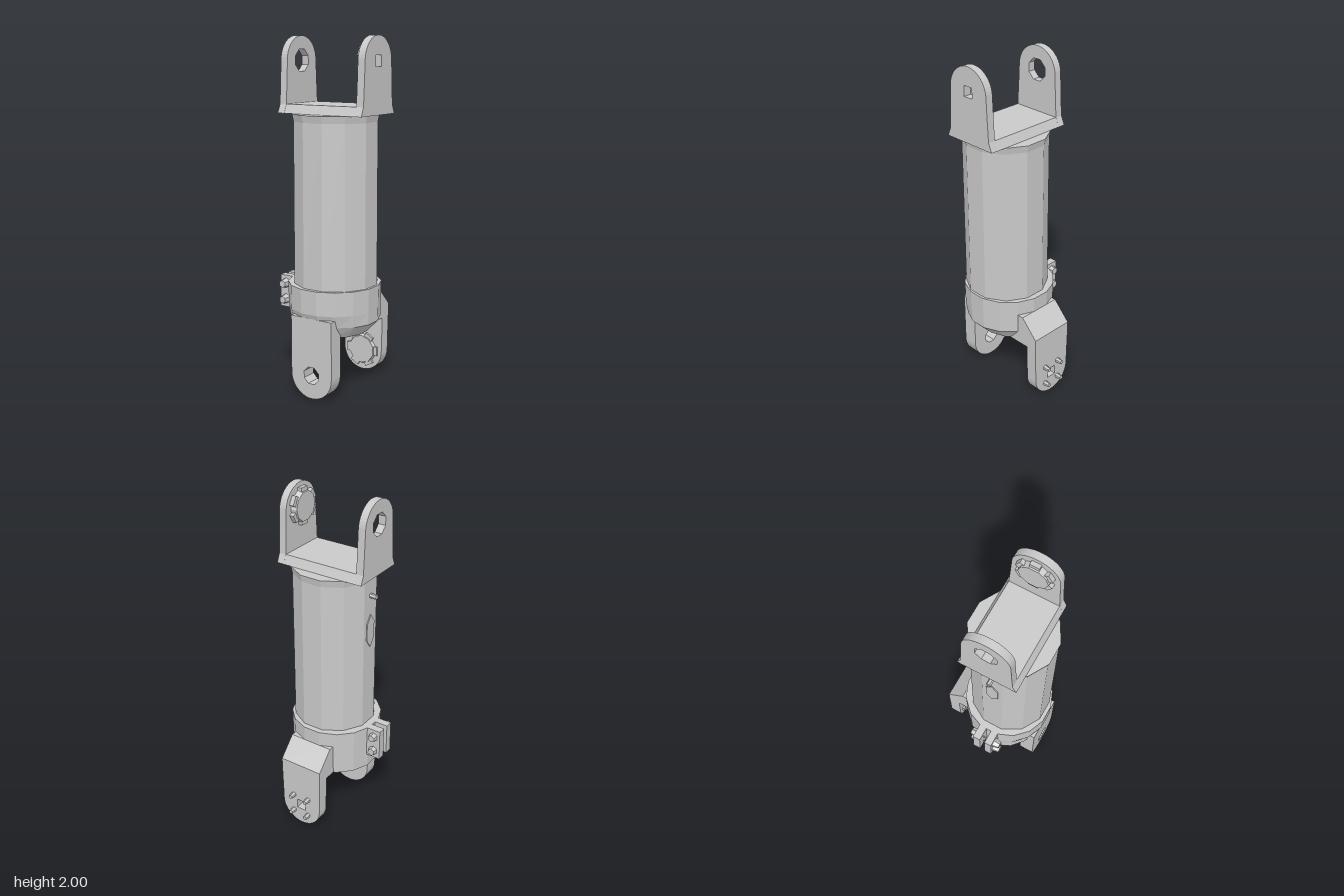
import * as THREE from 'three';

const steel = new THREE.MeshStandardMaterial({ color: 0xc9c9c9, flatShading: true });
steel.name = 'light steel grey';

export function createModel() {
  const model = new THREE.Group();
  model.name = 'strut';

  const add = (name, geo, x = 0, y = 0, z = 0, parent = model) => {
    const m = new THREE.Mesh(geo, steel);
    m.name = name;
    m.position.set(x, y, z);
    parent.add(m);
    return m;
  };
  const box = (name, w, h, d, x, y, z) => add(name, new THREE.BoxGeometry(w, h, d), x, y, z);
  // Drum with a flat facet towards each axis
  const drum = (rTop, rBottom, h, sides, rows = 1) =>
    new THREE.CylinderGeometry(rTop, rBottom, h, sides, rows, false, Math.PI / sides);
  const polygon = (r, sides, turn = 0) => Array.from({ length: sides }, (_, i) => {
    const a = turn + (i / sides) * Math.PI * 2;
    return new THREE.Vector2(Math.cos(a) * r, Math.sin(a) * r);
  });
  const outline = (points) => new THREE.Shape(points.map(([x, y]) => new THREE.Vector2(x, y)));
  const extrude = (shape, depth) =>
    new THREE.ExtrudeGeometry(shape, { depth, bevelEnabled: false, curveSegments: 12 });

  // Round-ended eye plate centred on its hole, foot points downwards
  const eye = (r, foot, hole, thickness) => {
    const s = new THREE.Shape();
    s.moveTo(-foot[0][0], foot[0][1]);
    foot.forEach(([w, y]) => s.lineTo(w, y));
    s.absarc(0, 0, r, 0, Math.PI, false);
    foot.slice().reverse().forEach(([w, y]) => s.lineTo(-w, y));
    s.holes.push(new THREE.Path(hole));
    return extrude(s, thickness);
  };

  // Barrel with a slightly flared rim
  add('barrel', drum(0.238, 0.24, 0.95, 12), 0.04, 1.105, 0.073);
  add('barrelRim', drum(0.246, 0.238, 0.04, 12), 0.04, 1.56, 0.073);

  // Viewing slot and stop pin on the right side of the barrel
  const slot = outline([[0, 0.1], [-0.036, 0.05], [-0.036, -0.05], [0, -0.1], [0.036, -0.05], [0.036, 0.05]]);
  add('slotPlate', extrude(slot, 0.006).rotateY(-Math.PI / 2), -0.19, 1.23, 0.073);
  add('stopPin', new THREE.CylinderGeometry(0.014, 0.014, 0.05, 6).rotateZ(Math.PI / 2), -0.205, 1.445, 0.073);

  // Collar: front drawn in below, lower rim cut back on the left side
  const collar = drum(0.265, 0.26, 0.275, 16, 4);
  const p = collar.attributes.position;
  for (let i = 0; i < p.count; i++) {
    if (p.getY(i) < -0.05 && p.getZ(i) > 0) p.setZ(i, p.getZ(i) * 0.9);
    if (p.getY(i) < -0.13 && p.getX(i) > 0.08) {
      p.setX(i, p.getX(i) * 0.76);
      p.setZ(i, p.getZ(i) * 0.9);
    }
  }
  add('collar', collar, 0.026, 0.4925, 0.068);

  // Upper fork: flared base plate and two eye plates
  const base = outline([[-0.17, 0], [0.17, 0], [0.147, 0.05], [-0.147, 0.05]]);
  add('forkBase', extrude(base, 0.543).rotateY(Math.PI / 2), -0.238, 1.58, 0.068);
  const upperFoot = [[0.17, -0.285], [0.148, -0.235], [0.14, -0.1]];
  const upperEye = (name, hole, x) =>
    add(name, eye(0.135, upperFoot, hole, 0.044).rotateY(Math.PI / 2), x, 1.865, 0.068);
  upperEye('forkEyeRight', polygon(0.065, 8, Math.PI / 8), -0.238);
  upperEye('forkEyeLeft', polygon(0.042, 4, Math.PI / 4), 0.261);

  // Notched nut: tapered core with blocks around the rim
  const nut = (name) => {
    const g = new THREE.Group();
    g.name = name;
    add('nutCore', new THREE.CylinderGeometry(0.085, 0.094, 0.034, 10), 0, 0, 0, g);
    for (let i = 0; i < 6; i++) {
      const a = (i / 6) * Math.PI * 2;
      const block = add('nutBlock', new THREE.BoxGeometry(0.03, 0.026, 0.055),
        Math.cos(a) * 0.09, -0.004, Math.sin(a) * 0.09, g);
      block.rotation.y = -a;
    }
    model.add(g);
    return g;
  };
  const upperNut = nut('upperNut');
  upperNut.rotation.z = Math.PI / 2;
  upperNut.position.set(0.245, 1.868, 0.068);

  // Lower front eye
  add('frontEye', eye(0.135, [[0.135, -0.33]], polygon(0.052, 8, Math.PI / 8), 0.09).rotateZ(Math.PI),
    0.034, 0.137, 0.226);

  // Lower rear eye hung from a sloping arm
  add('rearEye', eye(0.13, [[0.135, -0.24]], polygon(0.042, 4, Math.PI / 4), 0.07).rotateZ(Math.PI),
    0.034, 0.14, -0.295);
  const arm = outline([[0.08, 0.355], [0.295, 0.355], [0.295, 0.43], [0.19, 0.54], [0.08, 0.54]]);
  add('rearArm', extrude(arm, 0.27).rotateY(Math.PI / 2), -0.101);
  const lowerNut = nut('lowerNut');
  lowerNut.rotation.x = Math.PI / 2;
  lowerNut.scale.y = 0.6;
  lowerNut.position.set(0.034, 0.14, -0.217);

  // Small rivets on the rear eye
  for (const x of [-0.015, 0.087]) {
    for (const y of [0.085, 0.2]) {
      add('rivet', new THREE.CylinderGeometry(0.016, 0.013, 0.045, 6).rotateX(Math.PI / 2), x, y, -0.31);
    }
  }

  // Clamp ears with two thin bolts on the right side of the collar
  box('clampEarRear', 0.11, 0.19, 0.046, -0.26, 0.535, 0.03);
  box('clampEarFront', 0.11, 0.19, 0.044, -0.26, 0.535, 0.107);
  for (const y of [0.585, 0.49]) {
    add('clampBolt', new THREE.CylinderGeometry(0.004, 0.004, 0.15, 6).rotateX(Math.PI / 2), -0.274, y, 0.07);
    add('boltHead', new THREE.CylinderGeometry(0.022, 0.03, 0.04, 6).rotateX(Math.PI / 2), -0.274, y, 0.149);
    add('boltNut', new THREE.CylinderGeometry(0.027, 0.023, 0.03, 6).rotateX(Math.PI / 2), -0.274, y, -0.007);
  }

  return model;
}
